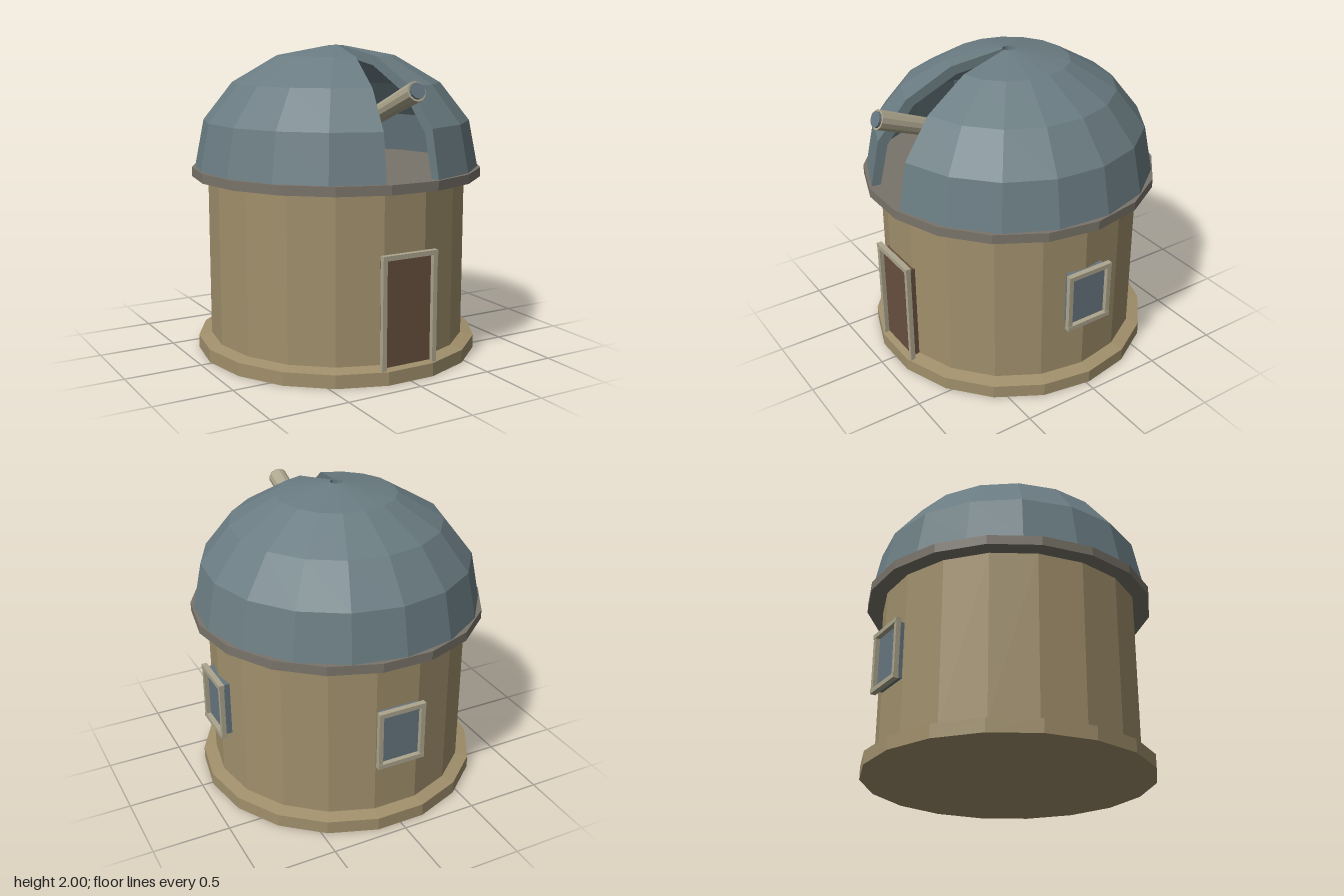
import * as THREE from 'three';

const mat = (name, color, extra = {}) => {
  const m = new THREE.MeshStandardMaterial({ color, flatShading: true, ...extra });
  m.name = name;
  return m;
};

export function createModel() {
  const stone = mat('tan stone', 0xa08f6b);
  const ledge = mat('grey ledge', 0x79746a);
  const metal = mat('dome blue grey', 0x6a7c82, { side: THREE.DoubleSide });
  const trim = mat('pale trim', 0xaca58d);
  const wood = mat('brown wood', 0x67503f);
  const glass = mat('window glass', 0x66767f);

  const model = new THREE.Group();
  model.name = 'observatory';
  const body = new THREE.Group();
  body.name = 'building';
  body.position.z = -0.02;
  model.add(body);

  const add = (parent, name, geometry, material, x = 0, y = 0, z = 0) => {
    const mesh = new THREE.Mesh(geometry, material);
    mesh.name = name;
    mesh.position.set(x, y, z);
    parent.add(mesh);
    return mesh;
  };

  // Eighteen-sided drums with one flat side facing the front
  const drum = (name, rTop, rBottom, y0, y1, material) => {
    const g = new THREE.CylinderGeometry(rTop, rBottom, y1 - y0, 18);
    g.rotateY(Math.PI / 18);
    return add(body, name, g, material, 0, (y0 + y1) / 2, 0);
  };
  drum('foundation', 0.93, 0.93, 0, 0.085, stone);
  drum('foundationSlope', 0.845, 0.93, 0.085, 0.103, stone);
  drum('wall', 0.845, 0.845, 0.1, 1.165, stone);
  drum('domeLedge', 0.95, 0.95, 1.16, 1.22, ledge);

  // Thick dome shell, open along a wedge at the front
  const profile = [
    [0.93, 1.22], [0.87, 1.52], [0.68, 1.762], [0.385, 1.935], [0.04, 2],
    [0.04, 1.94], [0.35, 1.88], [0.63, 1.72], [0.81, 1.49], [0.87, 1.22],
  ].map(([r, y]) => new THREE.Vector2(r, y));
  const slit = 0.198;
  const shell = new THREE.LatheGeometry(
    [...profile, profile[0].clone()], 16, slit, Math.PI * 2 - slit * 2);
  add(body, 'dome', shell, metal);
  for (const side of [-1, 1]) {
    const edge = add(body, 'slitEdge', new THREE.ShapeGeometry(new THREE.Shape(profile)), metal);
    edge.rotation.y = side * slit - Math.PI / 2;
  }

  // Telescope on its pier
  add(body, 'telescopePier', new THREE.CylinderGeometry(0.07, 0.11, 0.2, 8), metal, 0, 1.32, 0);
  const rear = new THREE.Vector3(0, 1.395, 0.01);
  const tip = new THREE.Vector3(0, 1.753, 0.91);
  const length = rear.distanceTo(tip);
  const telescope = new THREE.Group();
  telescope.name = 'telescope';
  telescope.position.copy(rear);
  telescope.quaternion.setFromUnitVectors(
    new THREE.Vector3(0, 1, 0), tip.clone().sub(rear).normalize());
  model.add(telescope);
  add(telescope, 'tube', new THREE.CylinderGeometry(0.063, 0.046, length, 12), trim, 0, length / 2, 0);
  add(telescope, 'lens', new THREE.CylinderGeometry(0.05, 0.05, 0.02, 12), glass, 0, length + 0.005, 0);

  // Framed opening: a panel with bars around it, facing +z before turning
  const opening = (name, w, h, y, bar, panelMaterial, angle, sill) => {
    const group = new THREE.Group();
    group.name = name;
    group.position.y = y;
    group.rotation.y = angle;
    body.add(group);
    const depth = 0.036, z = 0.884;
    add(group, 'panel', new THREE.BoxGeometry(w - bar * 1.8, h - bar, 0.05), panelMaterial,
      0, sill ? 0 : -bar / 2, 0.845);
    for (const s of [-1, 1]) {
      add(group, 'sideBar', new THREE.BoxGeometry(bar, h, depth - 0.006), trim,
        s * (w - bar) / 2, 0, z);
      if (s > 0 || sill) {
        add(group, 'crossBar', new THREE.BoxGeometry(w, bar, depth), trim, 0, s * (h - bar) / 2, z);
      }
    }
  };
  opening('door', 0.39, 0.705, 0.44, 0.03, wood, 0, false);
  opening('leftWindow', 0.322, 0.396, 0.648, 0.03, glass, Math.PI / 2, true);
  opening('backWindow', 0.322, 0.396, 0.648, 0.03, glass, Math.PI, true);

  return model;
}
